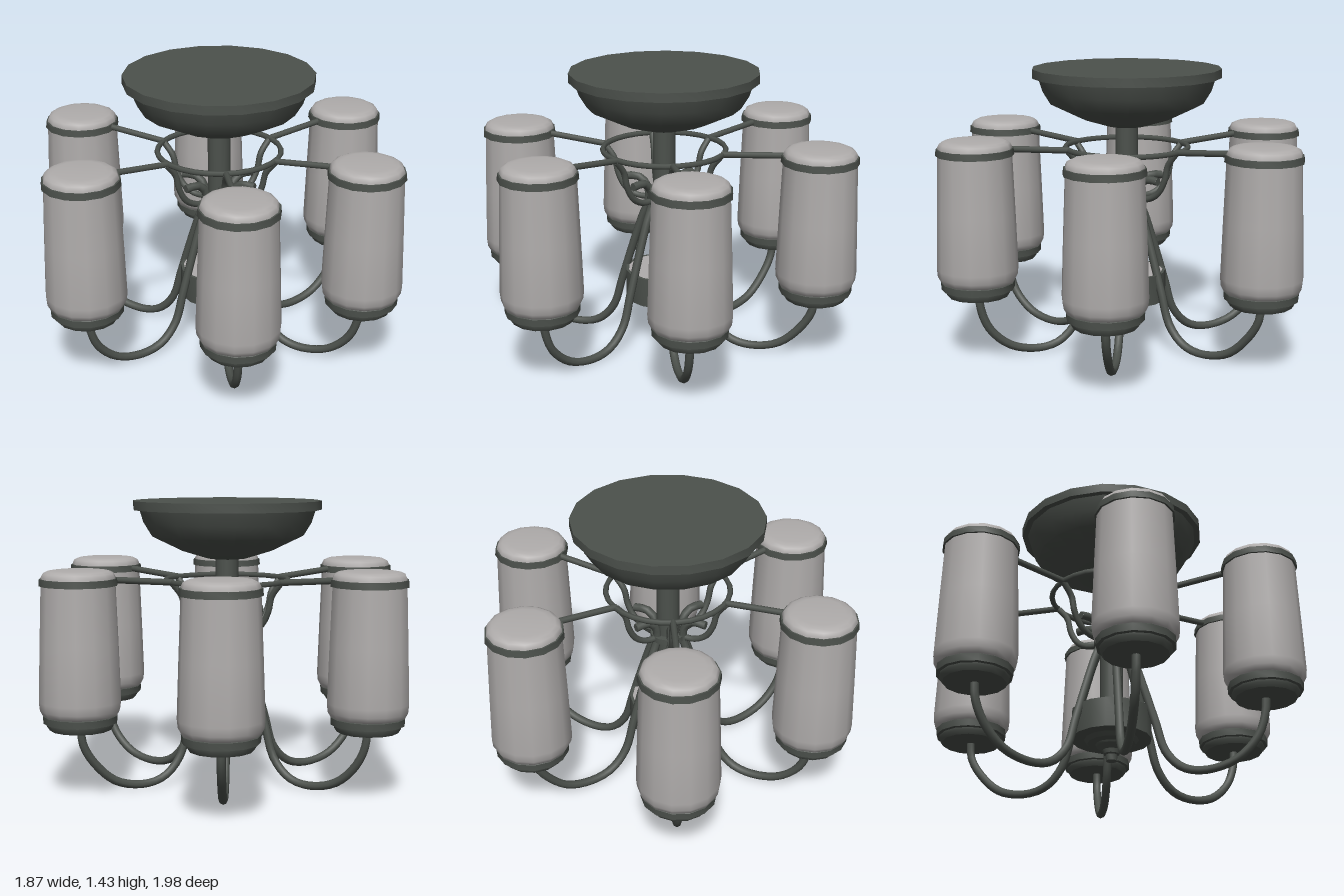
import * as THREE from 'three';
import { toCreasedNormals } from 'three/addons/utils/BufferGeometryUtils.js';

const iron = new THREE.MeshStandardMaterial({ color: 0x4c514c });
iron.name = 'dark iron';
const glass = new THREE.MeshStandardMaterial({ color: 0xb0adac });
glass.name = 'frosted glass';

// Profile is [radius, height] pairs from bottom to top
function lathe(name, profile, sides, material, crease = 0.6) {
  const points = profile.map(([r, y]) => new THREE.Vector2(r, y));
  const geometry = toCreasedNormals(new THREE.LatheGeometry(points, sides), crease);
  const mesh = new THREE.Mesh(geometry, material);
  mesh.name = name;
  return mesh;
}

// Round bar through [distance outwards, height] pairs, with closed ends
function bar(name, path, radius, segments) {
  const group = new THREE.Group();
  group.name = name;
  const curve = new THREE.CatmullRomCurve3(path.map(([x, y]) => new THREE.Vector3(x, y, 0)));
  group.add(new THREE.Mesh(new THREE.TubeGeometry(curve, segments, radius, 8), iron));
  for (const t of [0, 1]) {
    const cap = new THREE.Mesh(new THREE.CircleGeometry(radius, 8), iron);
    cap.position.copy(curve.getPointAt(t));
    const outward = curve.getTangentAt(t).multiplyScalar(t ? 1 : -1);
    cap.quaternion.setFromUnitVectors(new THREE.Vector3(0, 0, 1), outward);
    group.add(cap);
  }
  return group;
}

function makeLamp() {
  const lamp = new THREE.Group();
  lamp.name = 'lamp';
  lamp.add(lathe('shadeCup', [
    [0, 0.34], [0.15, 0.34], [0.163, 0.36], [0.165, 0.372], [0.18, 0.375],
    [0.182, 0.41], [0.17, 0.42], [0, 0.42],
  ], 14, iron));
  lamp.add(lathe('shade', [
    [0.16, 0.4], [0.183, 0.415], [0.196, 0.44], [0.2, 0.48], [0.191, 0.75], [0.18, 1.04],
    [0.179, 1.08], [0.17, 1.098], [0.15, 1.108], [0.12, 1.112], [0, 1.112],
  ], 14, glass, 1));
  lamp.add(lathe('shadeRing', [
    [0.177, 1.04], [0.19, 1.04], [0.187, 1.073], [0.175, 1.073],
  ], 14, iron));
  return lamp;
}

export function createModel() {
  const model = new THREE.Group();
  model.name = 'ceilingLight';

  // Central column
  const column = new THREE.Group();
  column.name = 'column';
  column.position.set(-0.005, 0, -0.007);
  model.add(column);
  column.add(lathe('canopy', [
    [0, 1.13], [0.1, 1.14], [0.23, 1.18], [0.385, 1.255], [0.425, 1.32], [0.445, 1.385],
    [0.475, 1.385], [0.475, 1.43], [0, 1.43],
  ], 18, iron));
  column.add(lathe('stem', [[0.058, 0.36], [0.058, 1.16]], 14, iron));
  column.add(lathe('collar', [
    [0.05, 0.755], [0.09, 0.755], [0.09, 0.785], [0.05, 0.785],
  ], 14, iron));
  column.add(lathe('housing', [
    [0, 0.24], [0.2, 0.24], [0.2, 0.39], [0.185, 0.39],
  ], 16, iron));
  column.add(lathe('housingTop', [[0.19, 0.388], [0, 0.388]], 16, glass));
  column.add(lathe('finial', [
    [0, 0.13], [0.027, 0.13], [0.03, 0.16], [0.04, 0.165], [0.045, 0.185], [0.075, 0.205],
    [0.08, 0.215], [0.12, 0.22], [0.14, 0.245],
  ], 14, iron));

  // Hoop that braces the shades
  const hoop = new THREE.Mesh(new THREE.TorusGeometry(0.31, 0.014, 6, 28), iron);
  hoop.name = 'hoop';
  hoop.rotation.x = Math.PI / 2;
  hoop.position.y = 1.03;
  column.add(hoop);

  // Six slightly uneven arms: lamp centres as [x, z]
  const centres = [
    [0.735, -0.28], [0.113, -0.798], [-0.637, -0.498],
    [-0.738, 0.297], [-0.095, 0.78], [0.638, 0.456],
  ];
  for (const [x, z] of centres) {
    const reach = Math.hypot(x, z);
    const arm = new THREE.Group();
    arm.name = 'arm';
    arm.rotation.y = Math.atan2(-z, x);
    model.add(arm);

    const lamp = makeLamp();
    lamp.position.x = reach;
    arm.add(lamp);

    // Swan-neck arm with a curled upper end
    arm.add(bar('swanNeck', [
      [reach, 0.37], [reach - 0.01, 0.26], [0.73, 0.15], [0.62, 0.055], [0.47, 0.023],
      [0.36, 0.05], [0.275, 0.14], [0.225, 0.3], [0.17, 0.48], [0.115, 0.65], [0.075, 0.76],
      [0.085, 0.835], [0.13, 0.873], [0.2, 0.87],
    ], 0.021, 44));
    // Scroll from the collar up to the hoop
    arm.add(bar('scroll', [
      [0.07, 0.77], [0.14, 0.775], [0.2, 0.81], [0.24, 0.88], [0.26, 0.96], [0.31, 1.025],
    ], 0.016, 16));
    // Rod from the hoop to the shade ring
    arm.add(bar('braceRod', [[0.31, 1.03], [reach - 0.178, 1.057]], 0.016, 2));
  }
  return model;
}
